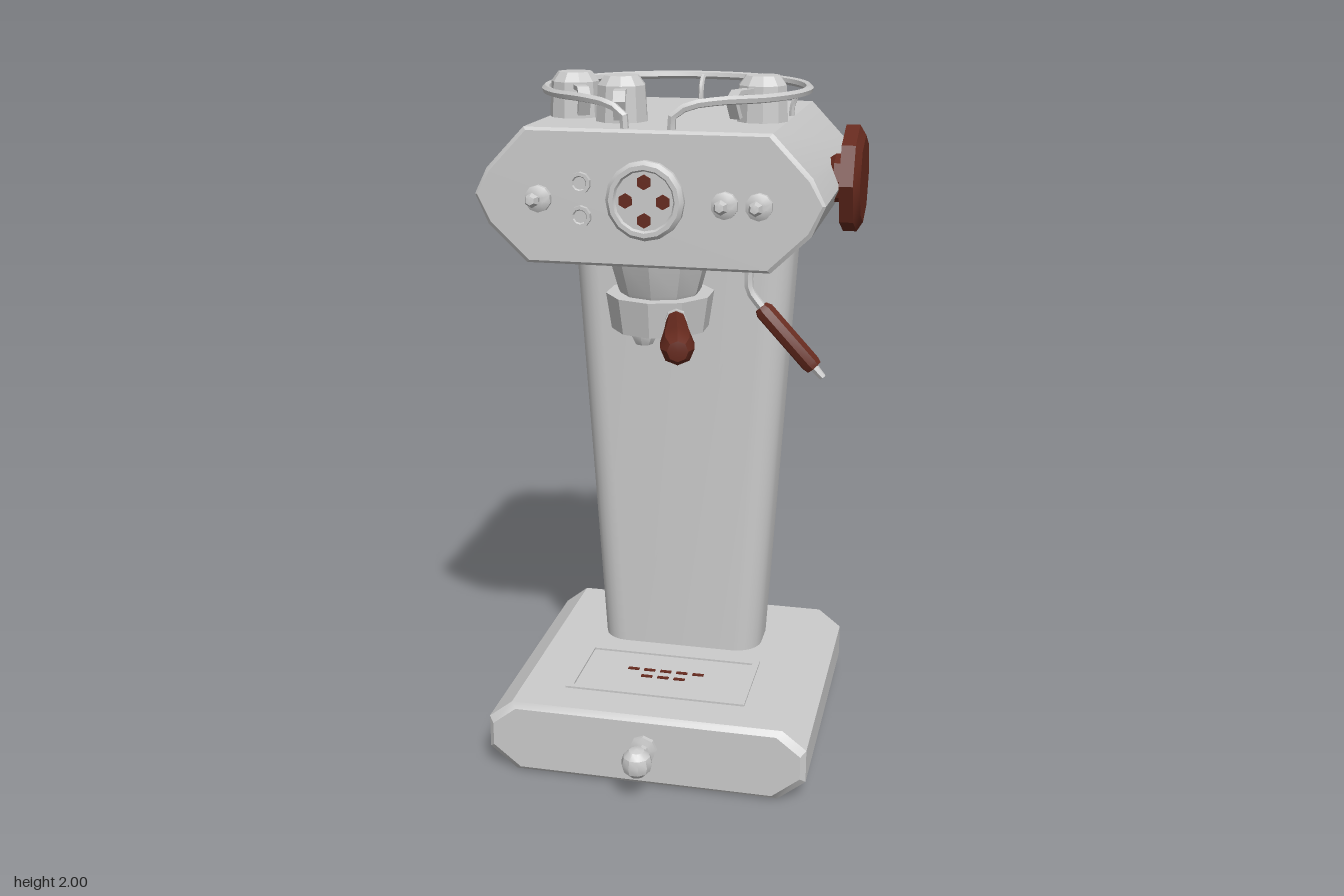
import * as THREE from 'three';
import { toCreasedNormals } from 'three/addons/utils/BufferGeometryUtils.js';

const CX = -0.03; // body centre line

export function createModel() {
  const model = new THREE.Group();
  model.name = 'espressoMachine';
  const steel = new THREE.MeshStandardMaterial({ color: 0xcccccc });
  steel.name = 'steel';
  const wood = new THREE.MeshStandardMaterial({ color: 0x662a1e });
  wood.name = 'wood';

  const add = (name, geo, mat, x = 0, y = 0, z = 0, parent = model) => {
    const mesh = new THREE.Mesh(toCreasedNormals(geo, 0.5), mat);
    mesh.name = name;
    mesh.position.set(x, y, z);
    parent.add(mesh);
    return mesh;
  };

  // closed body through convex counter-clockwise sections [{z, pts}] running along +z
  const loft = (sections) => {
    const pos = [];
    const n = sections[0].pts.length;
    const put = (s, i) => pos.push(s.pts[i % n][0], s.pts[i % n][1], s.z);
    for (let k = 0; k < sections.length - 1; k++) {
      const a = sections[k], b = sections[k + 1];
      for (let i = 0; i < n; i++) {
        put(a, i); put(a, i + 1); put(b, i + 1);
        put(a, i); put(b, i + 1); put(b, i);
      }
    }
    const first = sections[0], last = sections[sections.length - 1];
    for (let i = 1; i < n - 1; i++) {
      put(last, 0); put(last, i); put(last, i + 1);
      put(first, 0); put(first, i + 1); put(first, i);
    }
    const g = new THREE.BufferGeometry();
    g.setAttribute('position', new THREE.Float32BufferAttribute(pos, 3));
    g.computeVertexNormals();
    return g;
  };

  // block with a mirrored outline and a small chamfer round its front face
  const block = (right, cy, back, front, bevel) => {
    const pts = [...right, ...right.slice().reverse().map(([x, y]) => [-x, y])]
      .filter((p, i, all) => i === 0 || p[0] !== all[i - 1][0] || p[1] !== all[i - 1][1]);
    const inset = pts.map(([x, y]) => [x - Math.sign(x) * bevel, y - Math.sign(y - cy) * bevel]);
    return loft([{ z: back, pts }, { z: front - bevel, pts }, { z: front, pts: inset }]);
  };

  // lathe turned so that its axis points along +z; points are [radius, z]
  const turnZ = (points, sides) =>
    new THREE.LatheGeometry(points.map(([r, h]) => new THREE.Vector2(r, h)), sides).rotateX(Math.PI / 2);
  const turnY = (points, sides) =>
    new THREE.LatheGeometry(points.map(([r, h]) => new THREE.Vector2(r, h)), sides);
  const tube = (points, radius, segs, sides = 6) =>
    new THREE.TubeGeometry(new THREE.CatmullRomCurve3(points.map((p) => new THREE.Vector3(...p))), segs, radius, sides);

  // base, column and head
  add('base', block([[0.39, 0], [0.47, 0.065], [0.47, 0.165], [0.4, 0.22]], 0.11, -0.52, 0.31, 0.015), steel, CX);
  add('head', block([[0.33, 1.52], [0.435, 1.62], [0.47, 1.7], [0.435, 1.77], [0.33, 1.88]], 1.7, -0.52, 0.24, 0.008), steel, CX);

  const columnSection = (half, z) => {
    const pts = [], r = 0.08, depth = 0.1225;
    for (let c = 0; c < 4; c++) {
      const sx = c === 0 || c === 3 ? 1 : -1, sy = c < 2 ? 1 : -1;
      for (let i = 0; i <= 6; i++) {
        const a = (c + i / 6) * Math.PI / 2;
        pts.push([sx * (half - r) + r * Math.cos(a), sy * (depth - r) + r * Math.sin(a)]);
      }
    }
    return { z, pts };
  };
  add('column', loft([columnSection(0.25, 0.215), columnSection(0.33, 1.525)]).rotateX(-Math.PI / 2), steel, CX, 0, -0.2875);

  // drip tray with slots
  const frame = new THREE.Shape([[-0.27, -0.14], [0.27, -0.14], [0.27, 0.14], [-0.27, 0.14]].map((p) => new THREE.Vector2(...p)));
  frame.holes.push(new THREE.Path([[-0.25, -0.12], [-0.25, 0.12], [0.25, 0.12], [0.25, -0.12]].map((p) => new THREE.Vector2(...p))));
  add('trayFrame', new THREE.ExtrudeGeometry(frame, { depth: 0.006, bevelEnabled: false }).rotateX(-Math.PI / 2), steel, CX, 0.22, 0.04);
  [[5, 0.02], [3, 0.06]].forEach(([count, z]) => {
    for (let i = 0; i < count; i++) {
      add('traySlot', new THREE.BoxGeometry(0.034, 0.004, 0.012), wood, CX + (i - (count - 1) / 2) * 0.05, 0.221, z);
    }
  });

  // drawer knob
  add('drawerKnobStem', turnZ([[0, 0], [0.04, 0], [0.04, 0.015], [0.02, 0.02], [0.02, 0.06], [0, 0.06]], 8), steel, CX, 0.125, 0.308);
  add('drawerKnob', new THREE.SphereGeometry(0.045, 10, 6), steel, CX, 0.125, 0.393);

  // gauge
  add('gaugeRim', turnZ([[0, 0], [0.105, 0], [0.105, 0.015], [0.095, 0.026], [0.083, 0.026], [0.078, 0.018], [0, 0.018]], 16), steel, CX, 1.7, 0.24);
  for (let i = 0; i < 4; i++) {
    const a = i * Math.PI / 2;
    add('gaugeMark', new THREE.CylinderGeometry(0.02, 0.02, 0.006, 6).rotateX(Math.PI / 2), wood,
      CX + 0.05 * Math.cos(a), 1.7 + 0.05 * Math.sin(a), 0.26);
  }

  // toggle switches and buttons
  for (const x of [-0.32, 0.18, 0.27]) {
    add('switchCollar', turnZ([[0, 0], [0.036, 0], [0.036, 0.014], [0.02, 0.022], [0, 0.022]], 10), steel, x, 1.695, 0.24);
    add('switchLever', turnZ([[0.01, 0], [0.011, 0.02], [0.02, 0.045], [0.012, 0.063], [0, 0.065]], 6), steel, x, 1.695, 0.258).rotation.x = -0.1;
  }
  for (const y of [1.74, 1.652]) {
    add('button', turnZ([[0, 0], [0.029, 0], [0.029, 0.015], [0.02, 0.015], [0.017, 0.01], [0, 0.01]], 10), steel, -0.205, y, 0.24);
  }

  // side wheel
  add('wheelHub', turnY([[0, 0], [0.05, 0], [0.067, 0.025], [0.067, 0.06], [0, 0.06]], 8).rotateZ(-Math.PI / 2), wood, 0.395, 1.715, -0.137);
  add('sideWheel', turnY([[0, 0], [0.147, 0], [0.147, 0.038], [0.12, 0.055], [0, 0.055]], 8).rotateZ(-Math.PI / 2), wood, 0.445, 1.715, -0.137);

  // brewing group, filter holder and spouts
  add('brewGroup', turnY([[0.105, 1.41], [0.115, 1.43], [0.143, 1.53]], 10), steel, CX, 0, 0.075);
  add('filterHolder', turnY([[0, 1.32], [0.135, 1.32], [0.15, 1.42], [0, 1.42]], 10), steel, CX, 0, 0.075);
  for (const side of [-1, 1]) {
    add('spout', turnY([[0, 1.27], [0.025, 1.27], [0.038, 1.295], [0.038, 1.33]], 8), steel, CX + side * 0.046, 0, 0.08);
  }
  const holderHandle = new THREE.Group();
  holderHandle.name = 'holderHandle';
  holderHandle.position.set(0.035, 1.375, 0.17);
  holderHandle.rotation.y = 0.23;
  model.add(holderHandle);
  add('handleCollar', turnZ([[0, -0.04], [0.03, -0.04], [0.03, 0.045], [0, 0.045]], 8), steel, 0, 0, 0, holderHandle);
  add('handleGrip', turnZ([[0, 0.03], [0.026, 0.03], [0.032, 0.13], [0.044, 0.27], [0.043, 0.325], [0.027, 0.352], [0, 0.356]], 8), wood, 0, 0, 0, holderHandle);

  // steam wand
  add('wandPipe', tube([[0.205, 1.54, 0], [0.205, 1.48, 0], [0.207, 1.42, 0], [0.235, 1.38, 0], [0.27, 1.34, 0]], 0.013, 10), steel);
  const wand = new THREE.Group();
  wand.name = 'steamWand';
  wand.position.set(0.24, 1.372, 0);
  wand.rotation.z = 0.745;
  model.add(wand);
  add('wandGrip', turnY([[0, -0.225], [0.024, -0.225], [0.028, -0.21], [0.028, -0.015], [0.02, 0], [0, 0]], 8), wood, 0, 0, 0, wand);
  add('wandTip', new THREE.CylinderGeometry(0.014, 0.01, 0.05, 6), steel, 0, -0.238, 0, wand);

  // cup rail, open at the front where its ends drop to the head
  const railR = 0.366, railZ = -0.15, railY = 1.95;
  const onRail = (a, y) => [CX + railR * Math.sin(a), y, railZ + railR * Math.cos(a)];
  const railPts = [onRail(0.17, 1.875), onRail(0.18, 1.915), onRail(0.3, 1.94)];
  for (let i = 0; i <= 14; i++) railPts.push(onRail(0.5 + (i / 14) * (2 * Math.PI - 1), railY));
  railPts.push(onRail(-0.3, 1.94), onRail(-0.18, 1.915), onRail(-0.17, 1.875));
  add('cupRail', tube(railPts, 0.012, 60), steel);
  for (const a of [Math.PI / 2, Math.PI, -Math.PI / 2]) {
    const at = (r, y) => [CX + r * Math.sin(a), y, railZ + r * Math.cos(a)];
    add('railPost', tube([at(railR, railY), at(railR - 0.03, 1.935), at(railR - 0.042, 1.91), at(railR - 0.045, 1.875)], 0.008, 6), steel);
  }

  // upturned cups with handles
  for (const [x, z, turn] of [[-0.29, -0.025, 0.45], [-0.14, 0.05, 0.2], [0.23, -0.025, -0.45]]) {
    const cup = new THREE.Group();
    cup.name = 'cup';
    cup.position.set(x, 1.88, z);
    cup.rotation.y = turn;
    model.add(cup);
    add('cupBody', turnY([[0, 0], [0.072, 0], [0.066, 0.095], [0.047, 0.12], [0, 0.12]], 10), steel, 0, 0, 0, cup);
    const outline = new THREE.Shape([[0.06, 0.09], [0.12, 0.09], [0.147, 0.065], [0.125, 0.015], [0.113, 0.02],
      [0.132, 0.062], [0.115, 0.078], [0.06, 0.078]].reverse().map((p) => new THREE.Vector2(...p)));
    const handle = new THREE.ExtrudeGeometry(outline, { depth: 0.032, bevelEnabled: false });
    add('cupHandle', handle.translate(0, 0, -0.016).rotateY(-Math.PI / 2), steel, 0, 0, 0, cup);
  }
  return model;
}
